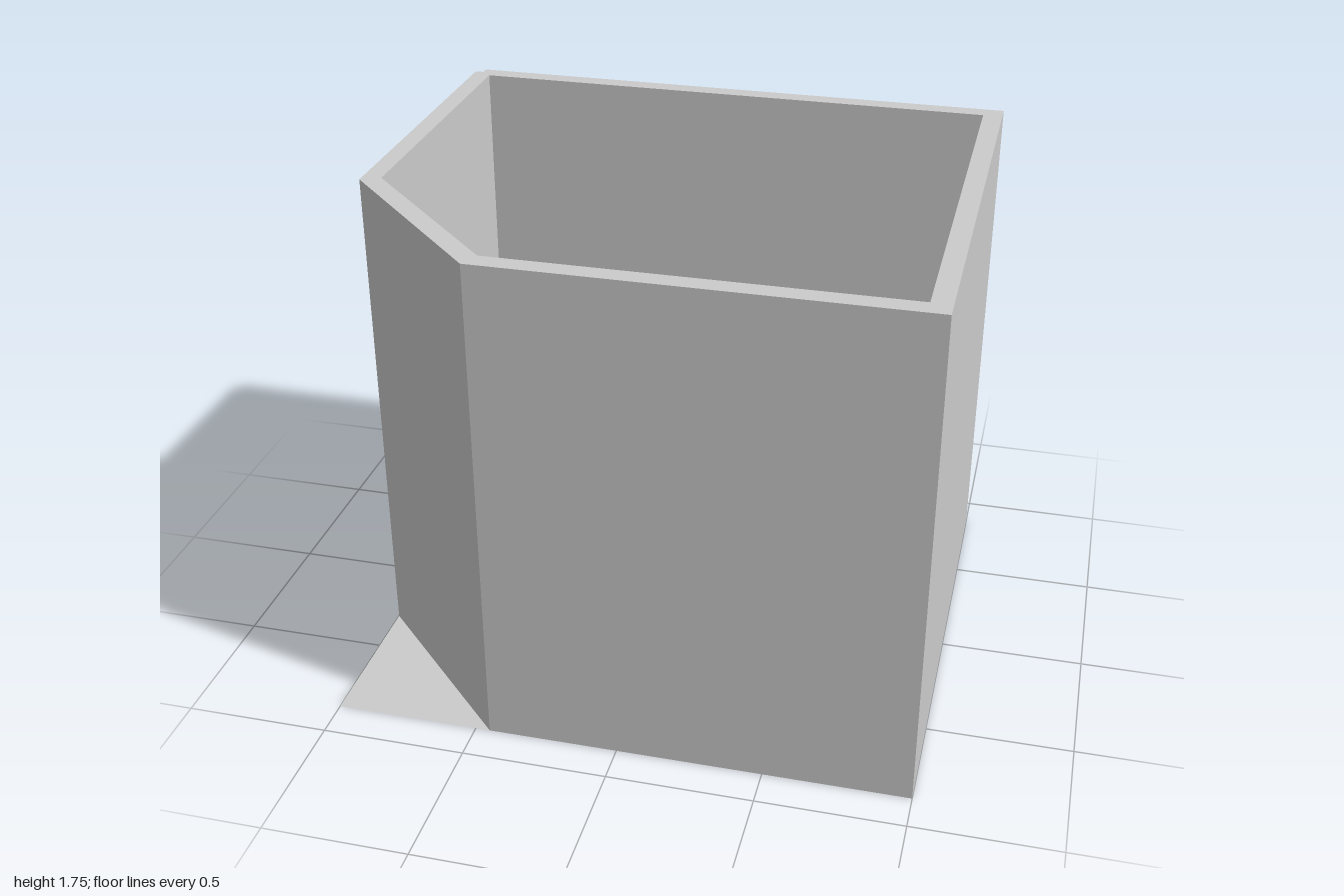
import * as THREE from 'three';

const HEIGHT = 1.75, HALF_W = 1, HALF_D = 0.865, NOTCH = 0.03;

// Closed outline from plan coordinates [x, z]
const toPoints = (plan) => plan.map(([x, z]) => new THREE.Vector2(x, -z));

export function createModel() {
  const group = new THREE.Group();
  const grey = new THREE.MeshStandardMaterial({ color: 0xcccccc, flatShading: true });
  const greyDouble = new THREE.MeshStandardMaterial({ color: 0xcccccc, side: THREE.DoubleSide });

  // Perimeter walls: one cut-off front corner and a small notch in the back corner
  const outline = new THREE.Shape(toPoints([
    [-0.45, HALF_D], [HALF_W, HALF_D], [HALF_W, -HALF_D],
    [-HALF_W + NOTCH, -HALF_D], [-HALF_W + NOTCH, -HALF_D + NOTCH], [-HALF_W, -HALF_D + NOTCH],
    [-HALF_W, 0.31],
  ]));
  // Room interior, open at the top
  outline.holes.push(new THREE.Path(toPoints([
    [-0.42, 0.797], [-0.935, 0.28], [-0.935, -0.802], [0.932, -0.802], [0.932, 0.797],
  ])));
  const wallGeometry = new THREE.ExtrudeGeometry(outline, { depth: HEIGHT, bevelEnabled: false });
  wallGeometry.rotateX(-Math.PI / 2);
  const walls = new THREE.Mesh(wallGeometry, grey);
  walls.name = 'walls';
  group.add(walls);

  // Flat floor sheet under the full rectangle
  const floorGeometry = new THREE.PlaneGeometry(2 * HALF_W, 2 * HALF_D);
  floorGeometry.rotateX(-Math.PI / 2);
  const floor = new THREE.Mesh(floorGeometry, greyDouble);
  floor.name = 'floor';
  group.add(floor);

  return group;
}
